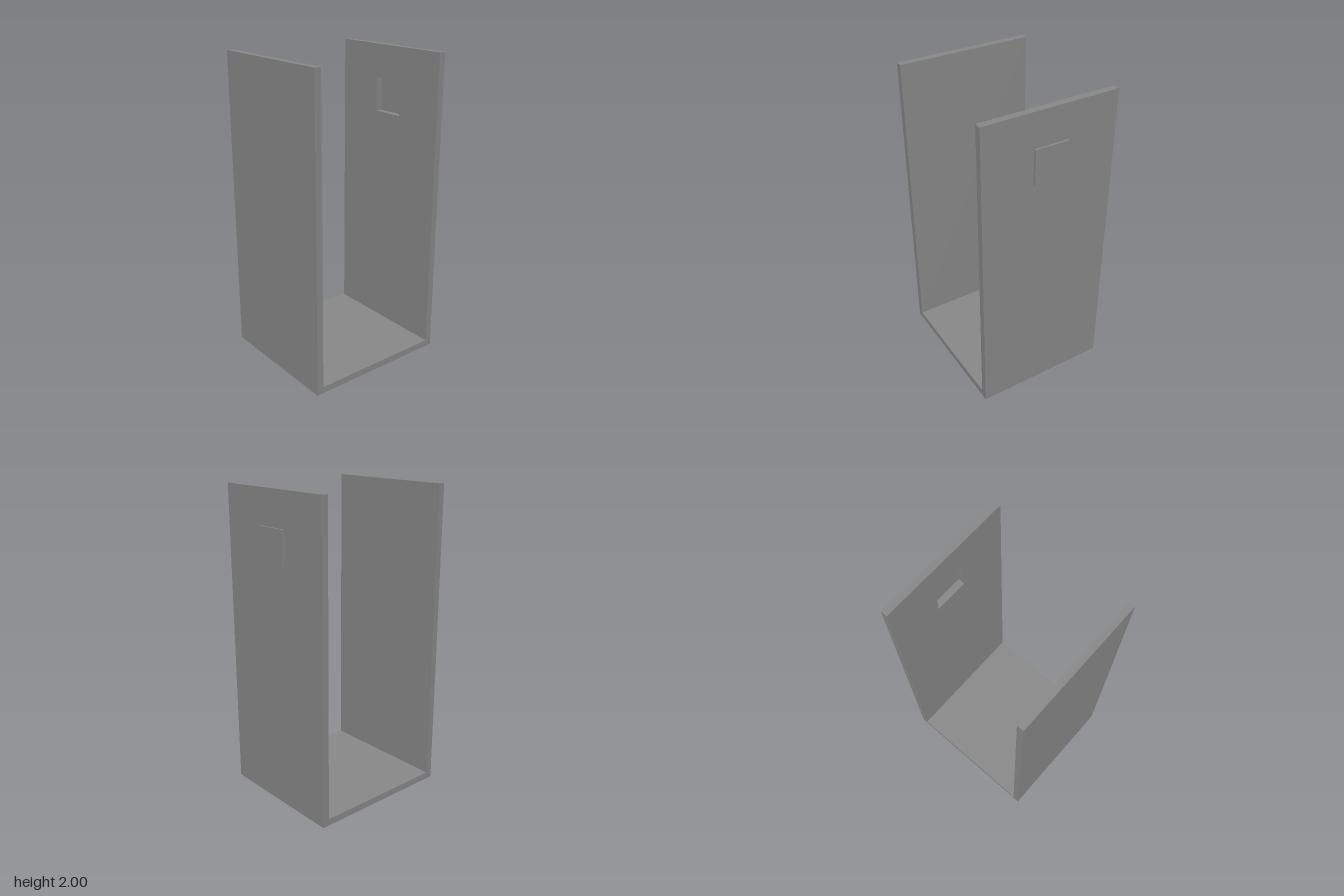
import * as THREE from 'three';

const DEPTH = 0.889;   // front to back
const WALL = 0.044;    // board thickness
const RIGHT = -0.495;  // outer face of the plain wall
const LEFT = 0.481;    // outer face of the windowed wall
const HEIGHT = 2;
const WINDOW = { size: 0.222, y: 1.667, plate: 0.014 };

const material = new THREE.MeshStandardMaterial({ color: 0x888888, flatShading: true });

function polygon(points) {
  return new THREE.Shape(points.map(([x, y]) => new THREE.Vector2(x, y)));
}

function addPart(group, name, geometry) {
  const mesh = new THREE.Mesh(geometry, material);
  mesh.name = name;
  group.add(mesh);
  return mesh;
}

export function createModel() {
  const group = new THREE.Group();
  group.name = 'openChannel';

  // Floor and plain wall: one L-shaped section run front to back
  const section = polygon([
    [RIGHT, 0], [LEFT, 0], [LEFT, WALL],
    [RIGHT + WALL, WALL], [RIGHT + WALL, HEIGHT], [RIGHT, HEIGHT],
  ]);
  const base = new THREE.ExtrudeGeometry(section, { depth: DEPTH, bevelEnabled: false });
  base.translate(0, 0, -DEPTH / 2);
  addPart(group, 'floorAndRightWall', base);

  // Opposite wall, pierced by a square window
  const h = WINDOW.size / 2;
  const side = polygon([
    [-DEPTH / 2, WALL], [DEPTH / 2, WALL], [DEPTH / 2, HEIGHT], [-DEPTH / 2, HEIGHT],
  ]);
  side.holes.push(polygon([
    [-h, WINDOW.y - h], [-h, WINDOW.y + h], [h, WINDOW.y + h], [h, WINDOW.y - h],
  ]));
  const wall = new THREE.ExtrudeGeometry(side, { depth: WALL, bevelEnabled: false });
  wall.rotateY(Math.PI / 2).translate(LEFT - WALL, 0, 0);
  addPart(group, 'leftWall', wall);

  // Thin plate closing the window from outside, leaving a recess inside
  const plate = addPart(group, 'windowPlate',
    new THREE.BoxGeometry(WINDOW.plate, WINDOW.size, WINDOW.size));
  plate.position.set(LEFT + WINDOW.plate / 2, WINDOW.y, 0);

  return group;
}
